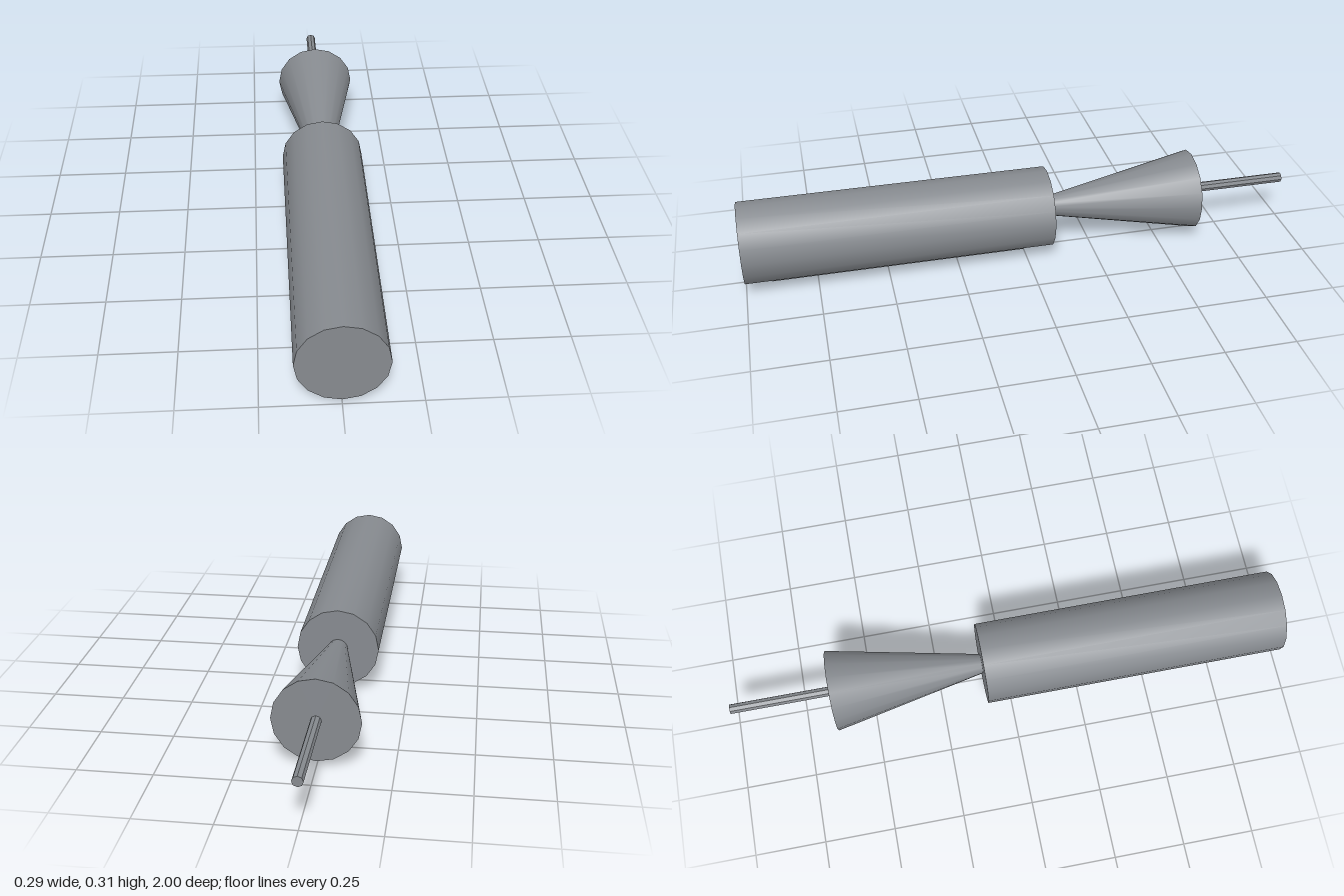
import * as THREE from 'three';
import { toCreasedNormals } from 'three/addons/utils/BufferGeometryUtils.js';

const AXIS_Y = 0.164;

export function createModel() {
  const model = new THREE.Group();
  const material = new THREE.MeshStandardMaterial({ color: 0x868a8f });

  const add = (name, geometry, y, z) => {
    const mesh = new THREE.Mesh(geometry, material);
    mesh.name = name;
    mesh.position.set(0, y, z);
    model.add(mesh);
  };

  // Round section along z, from its front end to its back end;
  // 16 sides shade smooth, 8 sides stay faceted
  const section = (name, frontRadius, backRadius, front, back, sides) => {
    const geometry = new THREE.CylinderGeometry(frontRadius, backRadius, front - back, sides);
    geometry.rotateX(Math.PI / 2);
    add(name, toCreasedNormals(geometry, Math.PI / 6), AXIS_Y, (front + back) / 2);
  };

  section('body', 0.145, 0.145, 1, -0.09, 16);
  section('flaredCone', 0.035, 0.145, -0.09, -0.635, 16);
  section('tailRod', 0.018, 0.018, -0.635, -1, 8);

  // Narrow rail under the body
  add('bottomRail', new THREE.BoxGeometry(0.035, 0.036, 0.91), 0.018, 0.455);

  return model;
}
